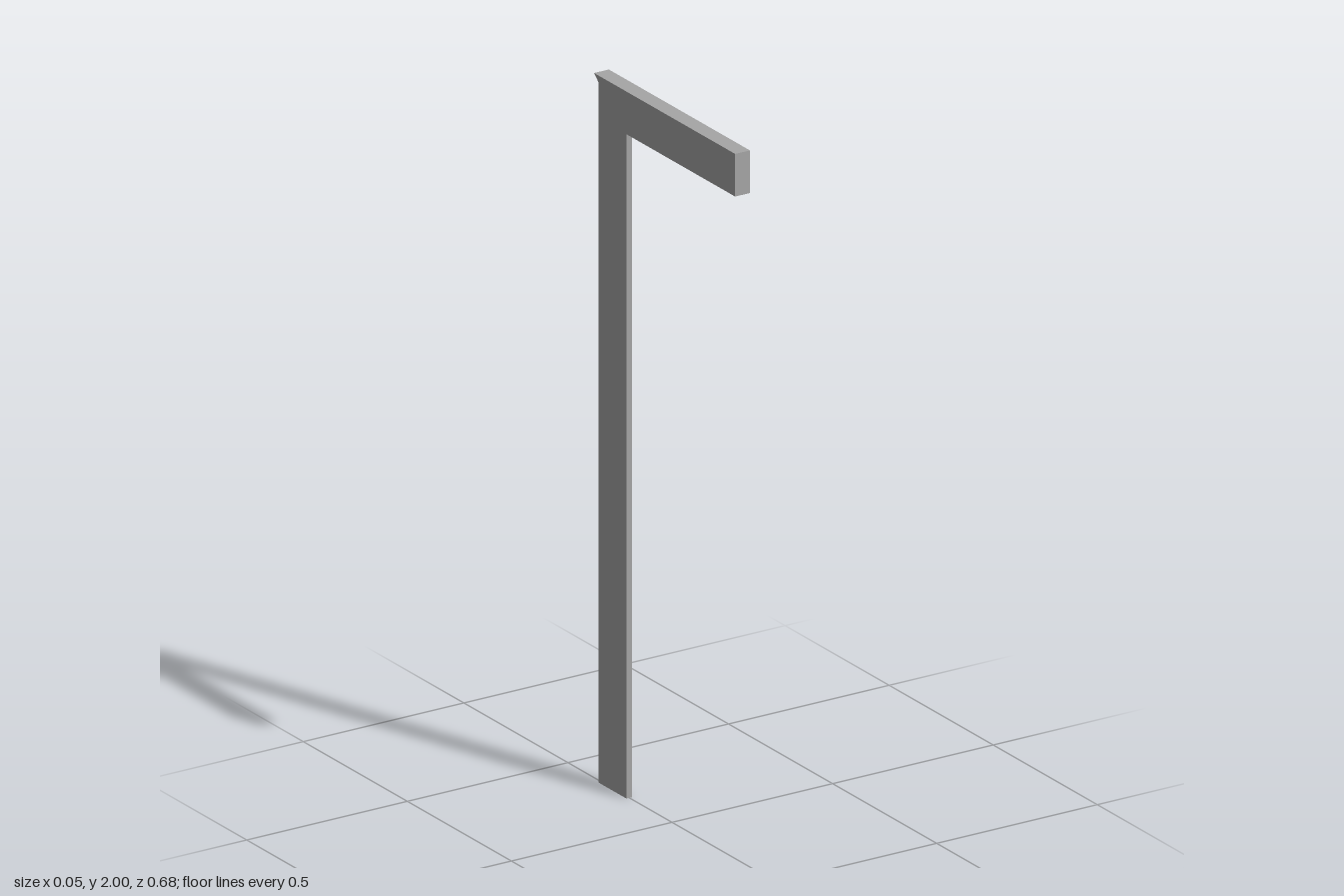
import * as THREE from 'three';

const grey = new THREE.MeshStandardMaterial({ name: 'grey metal', color: 0xa6a6a6 });
const red = new THREE.MeshStandardMaterial({ name: 'red mark', color: 0xe01010 });
const dark = new THREE.MeshStandardMaterial({ name: 'dark mark', color: 0x222222 });

const BACK = -0.339, FRONT = 0.339, INNER = -0.205, UNDER = 1.88, TOP = 2;

// Side outline given as [z, y] points, extruded evenly about x = 0
function profile(name, points, width) {
  const shape = new THREE.Shape(points.map(([z, y]) => new THREE.Vector2(z, y)));
  const geometry = new THREE.ExtrudeGeometry(shape, { depth: width, bevelEnabled: false });
  geometry.translate(0, 0, -width / 2).rotateY(-Math.PI / 2);
  const mesh = new THREE.Mesh(geometry, grey);
  mesh.name = name;
  return mesh;
}

export function createModel() {
  const model = new THREE.Group();
  model.name = 'bracketPost';

  // Thin upright and wider arm, meeting at a mitre
  const postWidth = 0.018;
  model.add(
    profile('post', [[BACK, 0], [INNER, 0], [INNER, UNDER], [BACK, TOP]], postWidth),
    profile('arm', [[INNER, UNDER], [FRONT, UNDER], [FRONT, TOP], [BACK, TOP]], 0.046),
  );

  // Tiny marks on the left face of the post
  const addMark = (name, material, y, z, h, d) => {
    const mark = new THREE.Mesh(new THREE.BoxGeometry(0.001, h, d), material);
    mark.name = name;
    mark.position.set(postWidth / 2 + 0.0003, y, z);
    model.add(mark);
  };
  for (const y of [0.133, 1.063]) {
    addMark('redMark', red, y, -0.271, 0.007, 0.012);
    for (let i = 0; i < 3; i++) addMark('darkMark', dark, y + 0.027 + i * 0.01, -0.269, 0.004, 0.006);
  }
  return model;
}
